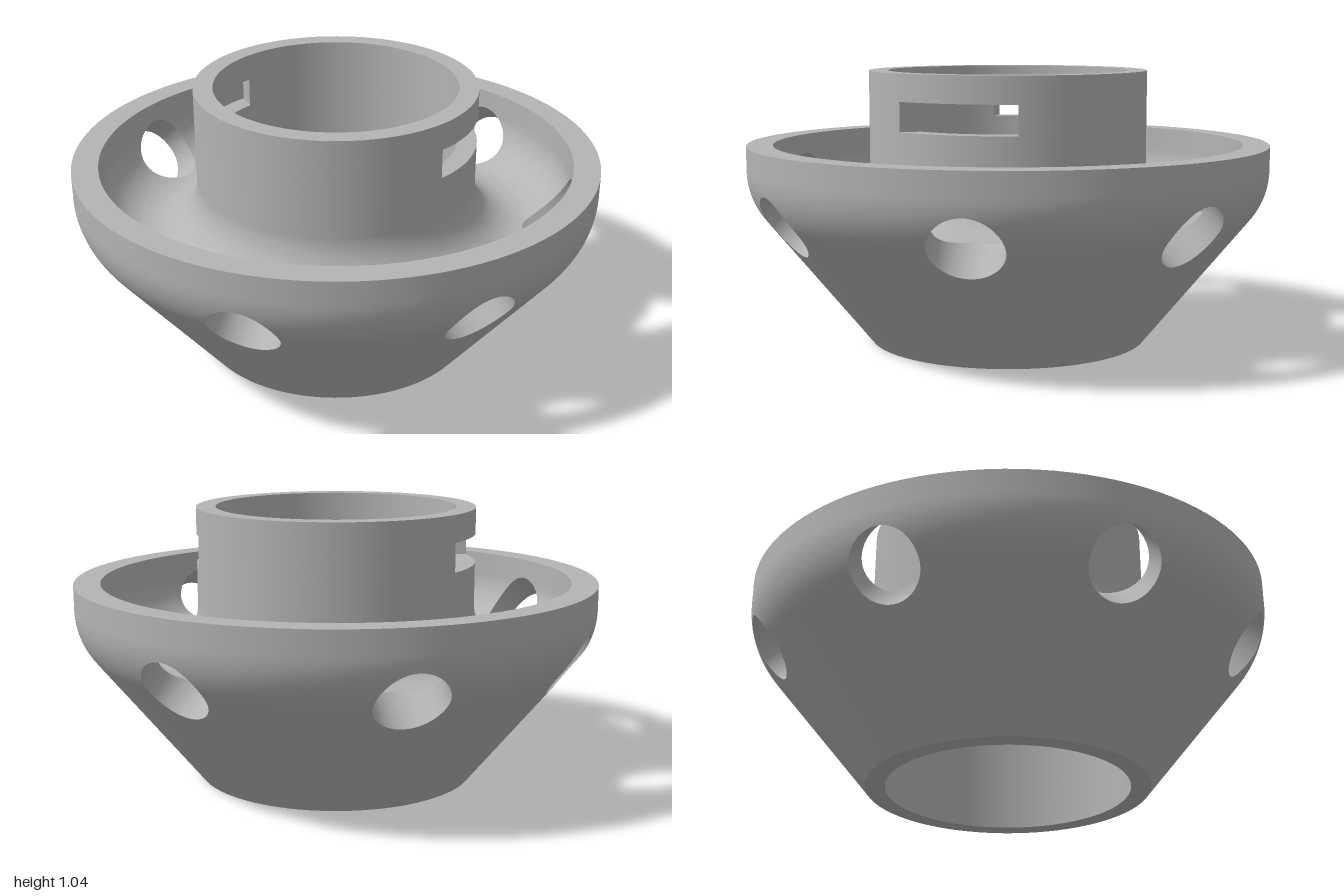
import * as THREE from 'three';
import { mergeGeometries, toCreasedNormals } from 'three/addons/utils/BufferGeometryUtils.js';

const SEG = 112, HOLES = 7, SIDE = 16;
const RIM_Y = 0.765, TUBE_R = 0.534, BORE_R = 0.46, TOP_Y = 1.043;
const SLOT_Y0 = 0.832, SLOT_Y1 = 0.942;
const TROUGH_C = 0.717, TROUGH_R = 0.183, TROUGH_Y = 0.67, WALL = RIM_Y - TROUGH_Y;
const HOLE_R = 0.133, TILT = Math.atan(0.81);

// Profiles: parameter -> [radius, height]
const FILLET = 0.28, FILLET_Y = 0.673;
const tangentY = FILLET_Y - FILLET * Math.sin(TILT);
const tangentR = 1 - FILLET + FILLET * Math.cos(TILT);
const bowlOuter = (y) => [
  y < tangentY ? tangentR - 0.81 * (tangentY - y)
    : y < FILLET_Y ? 1 - FILLET + Math.sqrt(FILLET ** 2 - (FILLET_Y - y) ** 2) : 1, y];
const trough = (s) => {
  if (s < WALL) return [TROUGH_C + TROUGH_R, RIM_Y - s];
  const a = (s - WALL) / TROUGH_R;
  return [TROUGH_C + TROUGH_R * Math.cos(a), TROUGH_Y - TROUGH_R * Math.sin(a)];
};
const line = (r0, y0, r1, y1) => (t) => [r0 + (r1 - r0) * t, y0 + (y1 - y0) * t];

// Point and normal on a profile turned about y
function onProfile(profile, phi, s) {
  const [r, y] = profile(s), e = 1e-4;
  const a = profile(s - e), b = profile(s + e);
  const n = new THREE.Vector2(b[1] - a[1], a[0] - b[0]).normalize();
  const c = Math.cos(phi), d = Math.sin(phi);
  return [new THREE.Vector3(r * c, y, r * d), new THREE.Vector3(n.x * c, n.y, n.x * d)];
}

// Smooth grid from f(i, j) -> [point, normal], wound to agree with the normals
function grid(nu, nv, f) {
  const pos = [], nor = [], index = [], P = [], N = [];
  for (let i = 0; i <= nu; i++) for (let j = 0; j <= nv; j++) {
    const [p, n] = f(i, j);
    P.push(p); N.push(n);
    pos.push(p.x, p.y, p.z); nor.push(n.x, n.y, n.z);
  }
  const tri = (a, b, c) => {
    const g = P[b].clone().sub(P[a]).cross(P[c].clone().sub(P[a]));
    const n = N[a].clone().add(N[b]).add(N[c]);
    if (g.dot(n) >= 0) index.push(a, b, c); else index.push(a, c, b);
  };
  for (let i = 0; i < nu; i++) for (let j = 0; j < nv; j++) {
    const a = i * (nv + 1) + j, b = a + nv + 1;
    tri(a, b, b + 1); tri(a, b + 1, a + 1);
  }
  const g = new THREE.BufferGeometry();
  g.setAttribute('position', new THREE.Float32BufferAttribute(pos, 3));
  g.setAttribute('normal', new THREE.Float32BufferAttribute(nor, 3));
  g.setIndex(index);
  return g;
}

const sheet = (profile, s0 = 0, s1 = 1, nv = 1) => grid(SEG, nv, (i, j) =>
  onProfile(profile, Math.PI / HOLES + (i / SEG) * Math.PI * 2, s0 + ((s1 - s0) * j) / nv));

// Drilled hole: lines parallel to the tilted axis, cut by both bowl surfaces
const axis = new THREE.Vector3(-Math.cos(TILT), Math.sin(TILT), 0);
const wallUp = new THREE.Vector3(Math.sin(TILT), Math.cos(TILT), 0);
const holeCentre = new THREE.Vector3(0.928, 0.494, 0);
const radial = (k) => {
  const a = -Math.PI / 4 + (k / (4 * SIDE)) * Math.PI * 2;
  return wallUp.clone().multiplyScalar(Math.sin(a)).add(new THREE.Vector3(0, 0, Math.cos(a)));
};
function cut(k, t0, t1, passed) {
  const start = holeCentre.clone().addScaledVector(radial(k), HOLE_R);
  for (let i = 0; i < 40; i++) {
    const t = (t0 + t1) / 2, p = start.clone().addScaledVector(axis, t);
    if (passed(Math.hypot(p.x, p.z), p.y)) t1 = t; else t0 = t;
  }
  return start.addScaledVector(axis, t0);
}
const cutOuter = (k) => cut(k, -0.2, 0.12, (r, y) => r < bowlOuter(y)[0]);
const cutInner = (k) => cut(k, 0, 0.22, (r, y) => (y > TROUGH_Y
  ? r < TROUGH_C + TROUGH_R : Math.hypot(r - TROUGH_C, y - TROUGH_Y) < TROUGH_R));

// One sector of a surface, blended from the hole's edge to the sector's border
function holedPatch(profile, s0, s1, cutAt, toS) {
  return grid(4 * SIDE, 12, (i, j) => {
    const k = i % (4 * SIDE), q = -1 + (2 * (k % SIDE)) / SIDE;
    const [bx, by] = [[1, q], [-q, 1], [-1, -q], [q, -1]][Math.floor(k / SIDE)];
    const p = cutAt(k), t = j / 12;
    const phi = THREE.MathUtils.lerp(Math.atan2(p.z, p.x), (bx * Math.PI) / HOLES, t);
    const s = THREE.MathUtils.lerp(toS(Math.hypot(p.x, p.z), p.y), (s0 + s1) / 2 + (by * (s1 - s0)) / 2, t);
    return onProfile(profile, phi, s);
  });
}

// Arc of tube wall between the two slots; angles run from the front towards +x
function slotWall(turn) {
  const a = (deg) => THREE.MathUtils.degToRad(deg + turn - 90);
  const shape = new THREE.Shape();
  shape.absarc(0, 0, TUBE_R, a(51), a(180), false);
  shape.absarc(0, 0, BORE_R, a(184), a(54.6), true);
  const g = new THREE.ExtrudeGeometry(shape, { depth: SLOT_Y1 - SLOT_Y0, bevelEnabled: false, curveSegments: 48 });
  g.rotateX(-Math.PI / 2).translate(0, SLOT_Y0, 0);
  return toCreasedNormals(g, 0.5);
}

export function createModel() {
  const group = new THREE.Group();
  const grey = new THREE.MeshStandardMaterial({ color: 0xb4b4b4 });
  grey.name = 'grey';
  const add = (name, geometry, turn = 0) => {
    const mesh = new THREE.Mesh(geometry, grey);
    mesh.name = name;
    mesh.rotation.y = turn;
    group.add(mesh);
  };

  // Bowl with its seven drilled sectors
  const patchY0 = 0.25, patchY1 = 0.72, patchS = 0.46;
  add('bowlLower', sheet(bowlOuter, 0, patchY0, 2));
  add('bowlUpper', sheet(bowlOuter, patchY1, RIM_Y));
  add('bowlRim', sheet(line(1, RIM_Y, TROUGH_C + TROUGH_R, RIM_Y)));
  const outerPatch = holedPatch(bowlOuter, patchY0, patchY1, cutOuter, (r, y) => y);
  const innerPatch = holedPatch(trough, patchS, 0, cutInner, (r, y) => (y > TROUGH_Y
    ? RIM_Y - y : WALL + TROUGH_R * Math.atan2(TROUGH_Y - y, r - TROUGH_C)));
  const holeWall = grid(4 * SIDE, 1, (k, j) => [j ? cutInner(k) : cutOuter(k), radial(k).negate()]);
  const sector = mergeGeometries([outerPatch, innerPatch, holeWall]);
  for (let i = 0; i < HOLES; i++) add('holedSector', sector, (i * Math.PI * 2) / HOLES);

  // Trough floor sweeping up into the central tube
  add('troughFloor', sheet(trough, patchS, WALL + TROUGH_R * Math.PI, 16));
  add('tubeLower', mergeGeometries([
    sheet(line(TUBE_R, TROUGH_Y, TUBE_R, SLOT_Y0)),
    sheet(line(TUBE_R, SLOT_Y0, BORE_R, SLOT_Y0)),
    sheet(line(BORE_R, SLOT_Y0, BORE_R, 0)),
    sheet(line(BORE_R, 0, bowlOuter(0)[0], 0)),
  ]));

  // Slotted band and top ring
  for (const turn of [0, 180]) add('slotWall', slotWall(turn));
  add('tubeTopRing', mergeGeometries([
    sheet(line(TUBE_R, SLOT_Y1, TUBE_R, TOP_Y)),
    sheet(line(TUBE_R, TOP_Y, BORE_R, TOP_Y)),
    sheet(line(BORE_R, TOP_Y, BORE_R, SLOT_Y1)),
    sheet(line(BORE_R, SLOT_Y1, TUBE_R, SLOT_Y1)),
  ]));
  return group;
}
